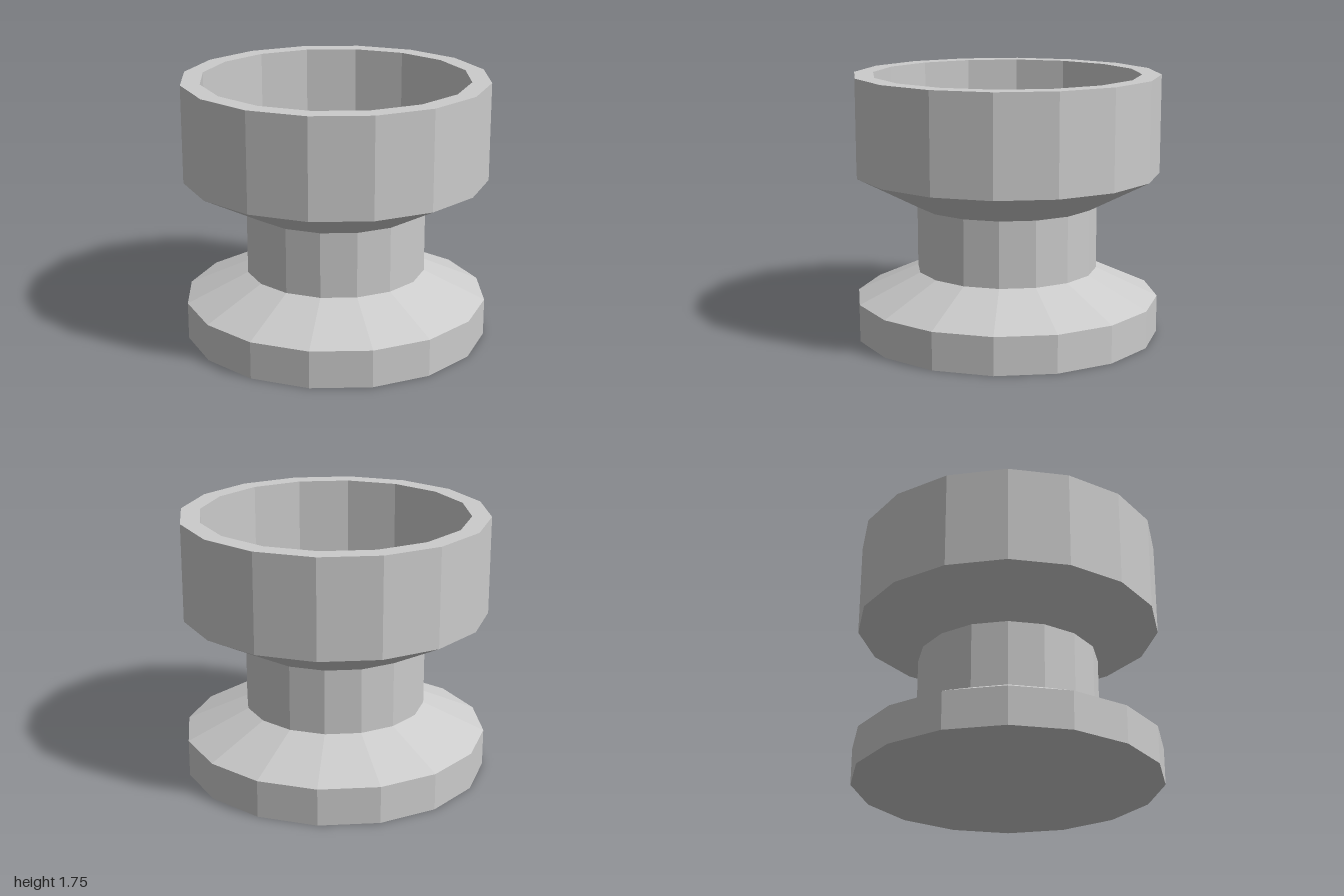
import * as THREE from 'three';

const SIDES = 16;
const toCorner = 1 / Math.cos(Math.PI / SIDES); // flat-to-centre distance -> corner radius

export function createModel() {
  const group = new THREE.Group();
  group.name = 'pedestalCup';
  const material = new THREE.MeshStandardMaterial({ color: 0xcccccc, flatShading: true });

  // Faceted ring of faces, turned so flats face the main axes
  function addTurned(name, profile) {
    const points = profile.map(([r, y]) => new THREE.Vector2(r * toCorner, y));
    const geometry = new THREE.LatheGeometry(points, SIDES, Math.PI / SIDES);
    const mesh = new THREE.Mesh(geometry, material);
    mesh.name = name;
    group.add(mesh);
  }

  // Solid foot with sloping top
  addTurned('base', [[0, 0], [1, 0], [1, 0.25], [0.594, 0.44]]);
  // Narrow waist
  addTurned('stem', [[0.594, 0.44], [0.594, 0.88]]);
  // Flared underside, outer wall, rim, inner wall and floor
  addTurned('cup', [[0.594, 0.88], [1, 1.097], [1, 1.75], [0.875, 1.75], [0.875, 1.125], [0, 1.125]]);

  return group;
}
